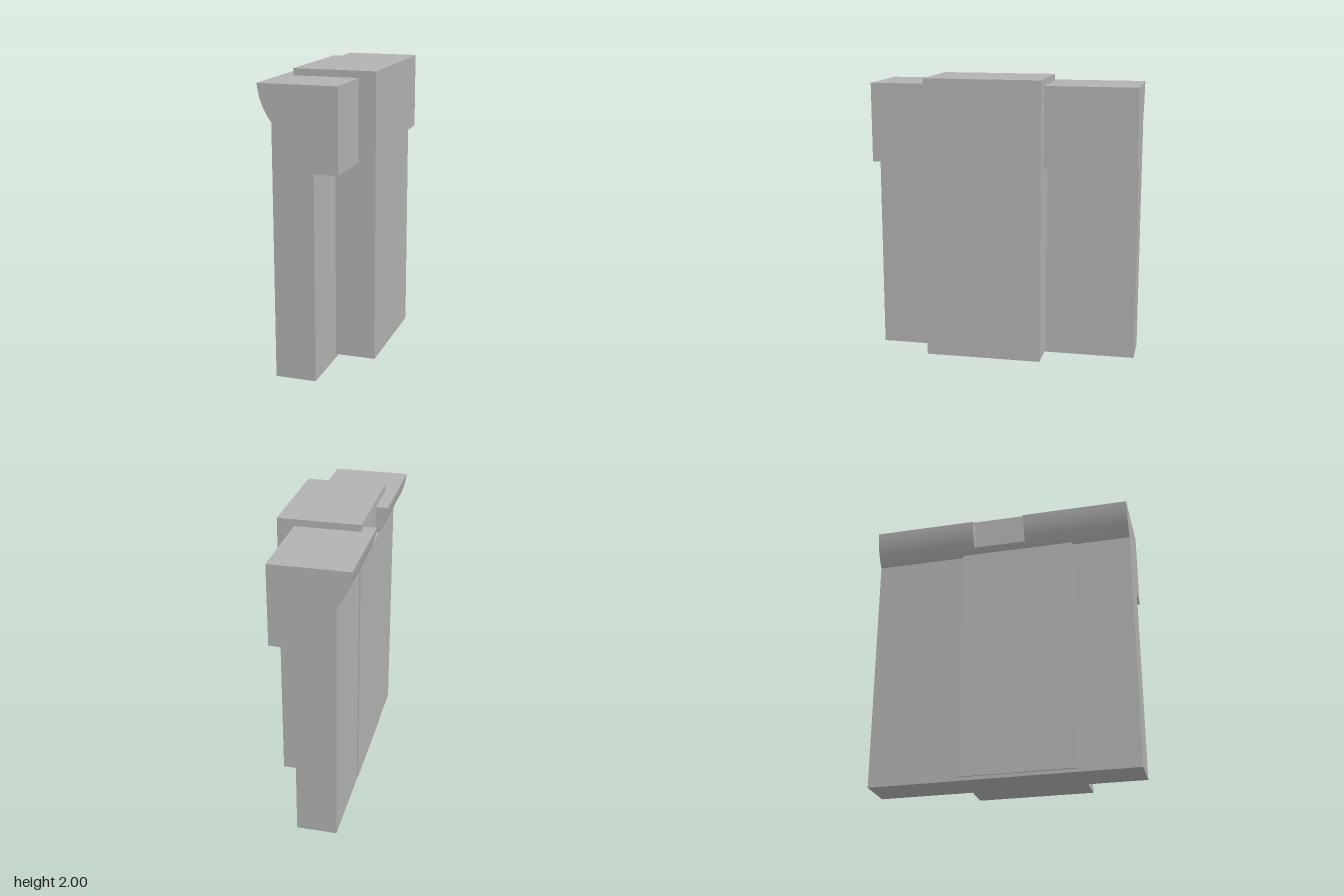
import * as THREE from 'three';
import { toCreasedNormals } from 'three/addons/utils/BufferGeometryUtils.js';

const stone = new THREE.MeshStandardMaterial({ color: 0xb2b2b2 });
stone.name = 'grey stone';

// Wall cross-section in x/y; drawLip adds the outline of the back edge
function wallProfile(drawLip) {
  const s = new THREE.Shape();
  s.moveTo(-0.233, 0);
  s.lineTo(0.045, 0);
  s.lineTo(0.045, 1.397);
  s.lineTo(0.207, 1.397);
  s.lineTo(0.207, 1.953);
  drawLip(s);
  s.closePath();
  return s;
}

// Full overhanging rounded lip
const fullLip = wallProfile((s) => {
  s.lineTo(-0.327, 1.953);
  s.quadraticCurveTo(-0.313, 1.81, -0.233, 1.71);
});

// Lip cut down to a narrow ledge
const cutLip = wallProfile((s) => {
  s.lineTo(-0.235, 1.953);
  s.lineTo(-0.235, 1.765);
  s.lineTo(-0.27, 1.765);
  s.quadraticCurveTo(-0.254, 1.737, -0.233, 1.71);
});

function wallSection(name, profile, z0, z1) {
  const geo = new THREE.ExtrudeGeometry(profile, { depth: z1 - z0, bevelEnabled: false, curveSegments: 12 });
  const mesh = new THREE.Mesh(toCreasedNormals(geo, 0.4), stone);
  mesh.name = name;
  mesh.position.z = z0;
  return mesh;
}

export function createModel() {
  const group = new THREE.Group();
  group.name = 'wallWithPillar';

  // Wall in three runs, the middle one with the notched lip
  group.add(
    wallSection('wallBack', fullLip, -0.935, -0.2),
    wallSection('wallMiddle', cutLip, -0.2, 0.18),
    wallSection('wallFront', fullLip, 0.18, 0.935)
  );

  // Pillar passing through the wall
  const pillar = new THREE.Mesh(new THREE.BoxGeometry(0.567, 1.975, 0.817), stone);
  pillar.name = 'pillar';
  pillar.position.set(0.0405, 1.0125, 0.1135);
  group.add(pillar);

  return group;
}
